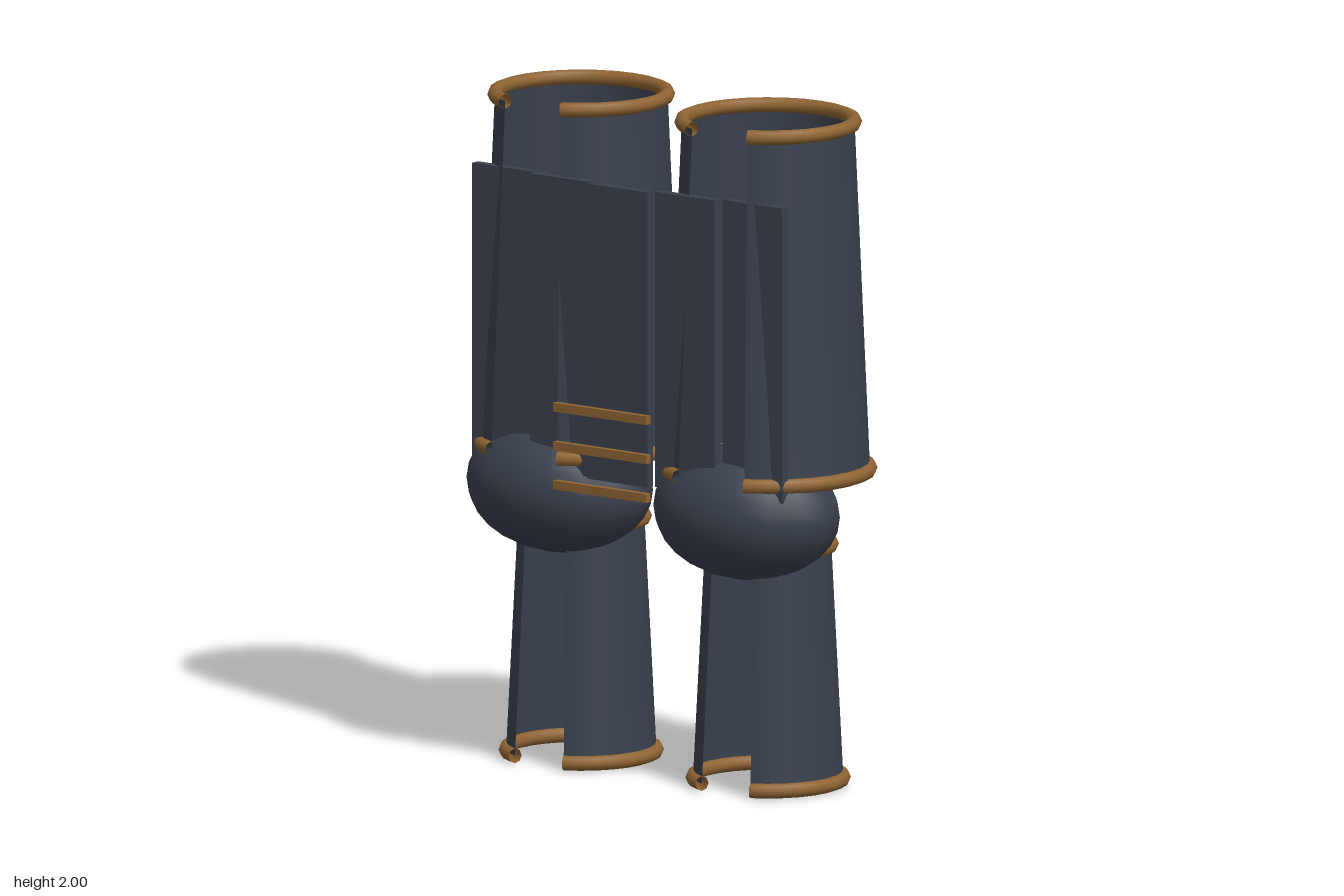
import * as THREE from 'three';

const GAP = 0.42;                       // half angle of the opening at the front
const ARC = Math.PI * 2 - GAP * 2;
const RIM = 0.022;

export function createModel() {
  const model = new THREE.Group();
  model.name = 'legArmour';
  const steel = new THREE.MeshStandardMaterial({ color: 0x3a414e, side: THREE.DoubleSide });
  steel.name = 'darkSteel';
  const bronze = new THREE.MeshStandardMaterial({ color: 0x8f6432, side: THREE.DoubleSide });
  bronze.name = 'bronze';

  function add(parent, name, geometry, material, x, y, z) {
    const mesh = new THREE.Mesh(geometry, material);
    mesh.name = name;
    mesh.position.set(x, y, z);
    parent.add(mesh);
    return mesh;
  }

  // Tapered open shell with a rolled rim at each end
  function guard(parent, name, rTop, rBottom, yBottom, yTop) {
    const group = new THREE.Group();
    group.name = name;
    group.position.z = -0.02;
    parent.add(group);
    const shell = new THREE.CylinderGeometry(rTop, rBottom, yTop - yBottom, 24, 1, true, GAP, ARC);
    add(group, name + 'Shell', shell, steel, 0, (yTop + yBottom) / 2, 0);
    for (const [part, r, y] of [['TopRim', rTop, yTop], ['BottomRim', rBottom, yBottom]]) {
      const rim = new THREE.TorusGeometry(r, RIM, 8, 24, ARC);
      rim.rotateZ(Math.PI / 2 + GAP).rotateX(Math.PI / 2);
      add(group, name + part, rim, bronze, 0, y, 0);
    }
  }

  for (const side of [-1, 1]) {
    const leg = new THREE.Group();
    leg.name = side > 0 ? 'leftLeg' : 'rightLeg';
    leg.position.x = side * 0.345;
    model.add(leg);
    guard(leg, 'thighGuard', 0.253, 0.298, 0.946, 1.978);
    guard(leg, 'shinGuard', 0.185, 0.22, 0.024, 0.72);
    // Knee cap
    const knee = new THREE.SphereGeometry(1, 16, 14).scale(0.3, 0.2, 0.228);
    add(leg, 'kneeCap', knee, steel, 0, 0.832, 0.083);
  }

  // Overlapping skirt plates, stepping back from the middle
  for (let i = -2; i <= 2; i++) {
    const z = 0.24 - Math.abs(i) * 0.023;
    add(model, 'skirtPlate', new THREE.BoxGeometry(0.22, 0.88, 0.028), steel, i * 0.231, 1.34, z);
  }

  // Cross bars in front of the middle plate
  for (const y of [0.888, 1.004, 1.12]) {
    add(model, 'crossBar', new THREE.BoxGeometry(0.344, 0.026, 0.02), bronze, 0, y, 0.33);
  }
  return model;
}
